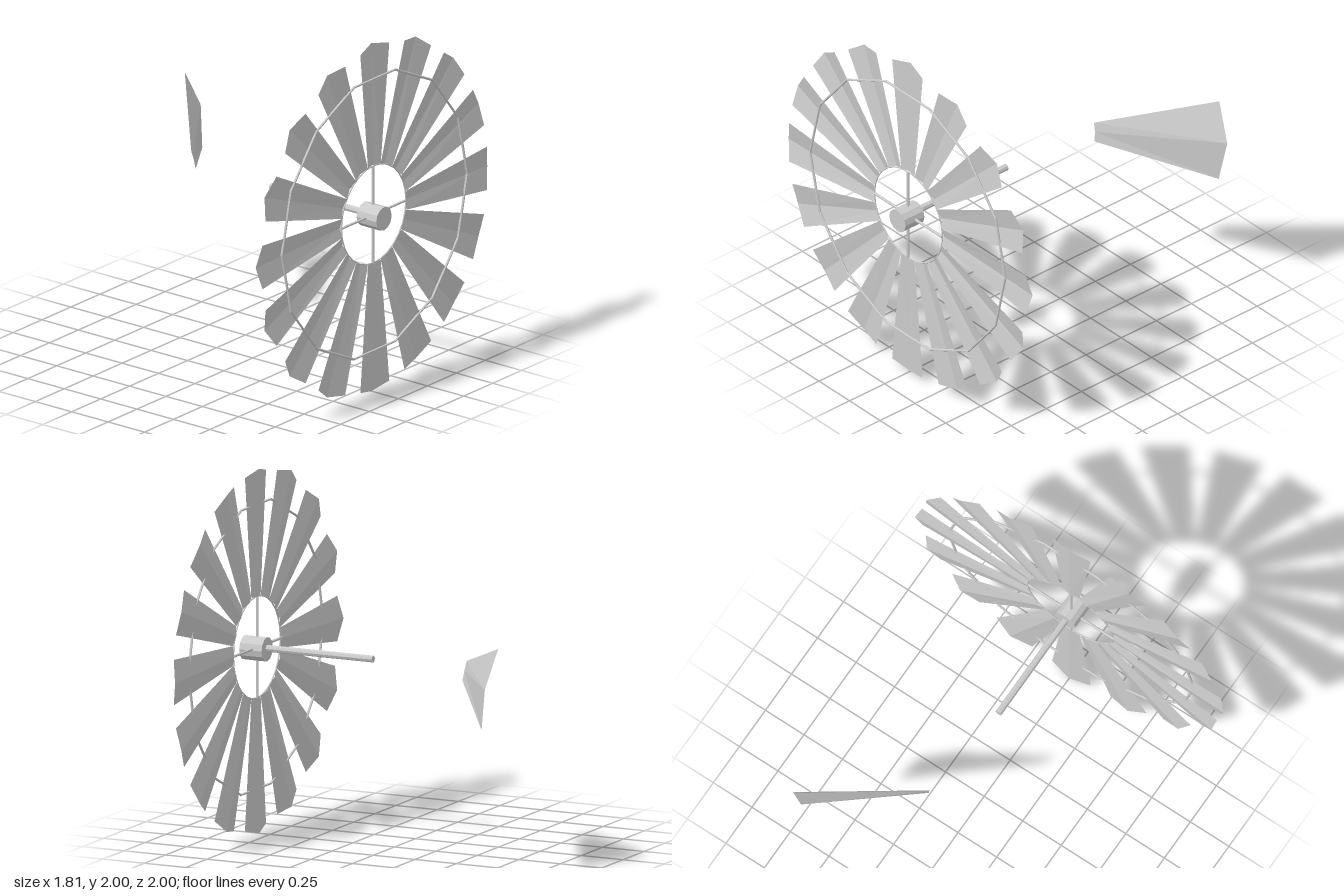
import * as THREE from 'three';

const metal = new THREE.MeshStandardMaterial({ color: 0xcccccc, flatShading: true, side: THREE.DoubleSide });
const WHEEL_X = 0.83, AXIS_Y = 1.018, AXIS_Z = 0.005;

function add(group, name, geometry) {
  const mesh = new THREE.Mesh(geometry, metal);
  mesh.name = name;
  group.add(mesh);
  return mesh;
}

// Sheet folded along its middle: each row is [edge, crease, edge]
function foldedSheet(inner, outer) {
  const points = [];
  for (let i = 0; i < 2; i++) {
    const [a, b, c, d] = [inner[i], inner[i + 1], outer[i + 1], outer[i]];
    points.push(a, b, c, a, c, d);
  }
  const geometry = new THREE.BufferGeometry();
  geometry.setAttribute('position', new THREE.Float32BufferAttribute(points.flat(), 3));
  geometry.computeVertexNormals();
  return geometry;
}

// Round bar between two points
function bar(group, name, from, to, radius, sides) {
  const a = new THREE.Vector3(...from), b = new THREE.Vector3(...to);
  const mesh = add(group, name, new THREE.CylinderGeometry(radius, radius, a.distanceTo(b), sides));
  mesh.position.copy(a).add(b).multiplyScalar(0.5);
  mesh.quaternion.setFromUnitVectors(new THREE.Vector3(0, 1, 0), b.sub(a).normalize());
}

// Hoop in the plane of the wheel, with a corner on the z axis
function hoop(group, name, radius, tube, segments, x) {
  const geometry = new THREE.TorusGeometry(radius, tube, 6, segments);
  geometry.rotateY(Math.PI / 2);
  add(group, name, geometry).position.set(x, 1.02, 0);
}

export function createModel() {
  const model = new THREE.Group();
  model.name = 'windPump';

  // Wheel of sixteen creased blades
  const wheel = new THREE.Group();
  wheel.name = 'wheel';
  model.add(wheel);
  const count = 16;
  for (let i = 0; i < count; i++) {
    const angle = (i / count) * Math.PI * 2;
    const s = Math.sin(angle), c = Math.cos(angle);
    const at = (x, r, w, cy) => [x, cy + r * c - w * s, r * s + w * c];
    const inner = [at(0.835, 0.277, -0.055, 1.02), at(0.822, 0.28, 0, 1.02), at(0.835, 0.277, 0.055, 1.02)];
    const outer = [at(0.838, 0.97, -0.125, 1), at(0.815, 1, 0, 1), at(0.838, 0.97, 0.125, 1)];
    add(wheel, 'blade', foldedSheet(inner, outer));
  }

  // Hoops and spokes
  hoop(wheel, 'outerHoop', 0.8, 0.007, 14, 0.836);
  hoop(wheel, 'innerHoop', 0.279, 0.004, 28, WHEEL_X);
  for (let i = 0; i < 4; i++) {
    const angle = (i * Math.PI) / 2;
    bar(wheel, 'spoke', [WHEEL_X, AXIS_Y, AXIS_Z],
      [WHEEL_X, AXIS_Y + 0.28 * Math.cos(angle), AXIS_Z + 0.28 * Math.sin(angle)], 0.008, 6);
  }

  // Hub and shaft
  bar(model, 'hub', [0.77, 1.012, AXIS_Z], [0.905, 1.012, AXIS_Z], 0.067, 12);
  bar(model, 'shaft', [0.13, AXIS_Y, AXIS_Z], [0.78, AXIS_Y, AXIS_Z], 0.019, 8);

  // Detached tail vane
  add(model, 'tailVane', foldedSheet(
    [[-0.455, 1.07, -0.04], [-0.45, 1.02, -0.055], [-0.44, 0.965, -0.06]],
    [[-0.905, 1.27, -0.55], [-0.875, 1.06, -0.65], [-0.84, 0.83, -0.62]]));

  return model;
}
